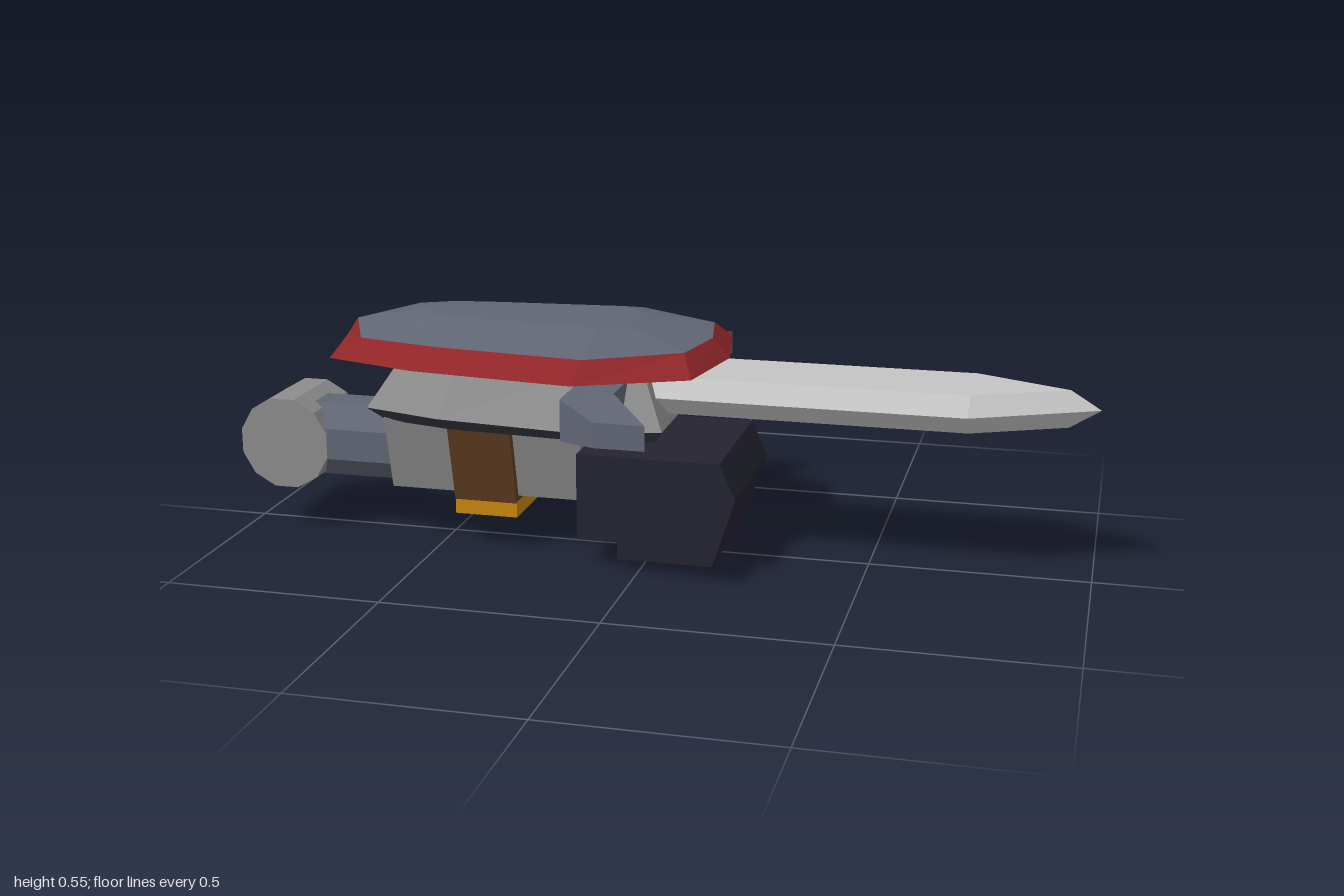
import * as THREE from 'three';

const mat = (name, color) => {
  const m = new THREE.MeshStandardMaterial({ color });
  m.name = name;
  return m;
};

// Flat-faceted skin through rings of [x, y, z] points, with optional end caps.
function loft(rings, capStart = true, capEnd = true) {
  const V = rings.map(r => r.map(p => new THREE.Vector3(...p)));
  const tris = [];
  const add = (a, b, c) => {
    const n = b.clone().sub(a).cross(c.clone().sub(a));
    if (n.length() > 1e-9) tris.push([a, b, c]);
  };
  const N = V[0].length;
  for (let i = 0; i < V.length - 1; i++) {
    for (let j = 0; j < N; j++) {
      const k = (j + 1) % N;
      add(V[i][j], V[i][k], V[i + 1][k]);
      add(V[i][j], V[i + 1][k], V[i + 1][j]);
    }
  }
  const last = V[V.length - 1];
  for (let j = 1; j < N - 1; j++) {
    if (capStart) add(V[0][0], V[0][j + 1], V[0][j]);
    if (capEnd) add(last[0], last[j], last[j + 1]);
  }
  // Turn the whole skin outward if it came out inside-out.
  const c = new THREE.Vector3();
  V.flat().forEach(p => c.add(p));
  c.divideScalar(V.flat().length);
  let vol = 0;
  for (const [a, b, d] of tris) {
    vol += a.clone().sub(c).dot(b.clone().sub(c).cross(d.clone().sub(c)));
  }
  const pts = tris.flatMap(([a, b, d]) => (vol < 0 ? [a, d, b] : [a, b, d]));
  const g = new THREE.BufferGeometry().setFromPoints(pts);
  g.computeVertexNormals();
  return g;
}

// Mirror a half outline of [x, z] points across z = 0 and lift it to height y.
const outline = (half, y) => [
  ...half.map(([x, z]) => [x, y, z]),
  ...half.filter(p => p[1] > 0).reverse().map(([x, z]) => [x, y, -z]),
];

const rect = (x0, x1, y, z) => [[x0, y, z], [x1, y, z], [x1, y, -z], [x0, y, -z]];

// Prism along x or z with flat sides.
function prism(radius, length, sides, turn, axis) {
  let g = new THREE.CylinderGeometry(radius, radius, length, sides, 1);
  g.rotateY(turn);
  if (axis === 'x') g.rotateZ(Math.PI / 2);
  else g.rotateX(Math.PI / 2);
  g = g.toNonIndexed();
  g.computeVertexNormals();
  return g;
}

export function createModel() {
  const root = new THREE.Group();
  root.name = 'armouredForearm';

  const grey = mat('grey', 0x8c8c8c);
  const steel = mat('bladeSteel', 0xc4c4c4);
  const slate = mat('slate', 0x606674);
  const dark = mat('darkSlate', 0x363a42);
  const navy = mat('navy', 0x242330);
  const red = mat('red', 0x902629);
  const brown = mat('brown', 0x603c22);
  const orange = mat('orange', 0xc8860e);

  const part = (name, geometry, material) => {
    const m = new THREE.Mesh(geometry, material);
    m.name = name;
    root.add(m);
    return m;
  };

  // Elbow and upper arm tube
  part('elbowJoint', prism(0.112, 0.2, 12, Math.PI / 12, 'z'), grey).position.set(-0.89, 0.218, 0);
  part('armTube', prism(0.097, 0.27, 8, Math.PI / 8, 'x'), slate).position.set(-0.725, 0.22, 0);

  // Forearm, narrower at the bottom
  part('forearm', loft([rect(-0.62, -0.15, 0.13, 0.092), rect(-0.62, -0.15, 0.31, 0.135)]), grey);

  // Strap around the forearm with a hollow orange end
  part('strap', loft([rect(-0.46, -0.31, 0.115, 0.107), rect(-0.46, -0.31, 0.305, 0.152)]), brown);
  const frame = new THREE.Shape([[-0.075, -0.105], [0.075, -0.105], [0.075, 0.105], [-0.075, 0.105]]
    .map(p => new THREE.Vector2(...p)));
  frame.holes.push(new THREE.Path([[-0.053, -0.08], [-0.053, 0.08], [0.053, 0.08], [0.053, -0.08]]
    .map(p => new THREE.Vector2(...p))));
  const frameGeo = new THREE.ExtrudeGeometry(frame, { depth: 0.038, bevelEnabled: false });
  frameGeo.rotateX(-Math.PI / 2);
  part('strapFrame', frameGeo, orange).position.set(-0.385, 0.08, 0);

  // Hull under the shield
  const hullLow = [[-0.62, 0.12], [-0.45, 0.16], [-0.13, 0.18], [0.03, 0.15]];
  const hullMid = [[-0.65, 0.16], [-0.46, 0.215], [-0.12, 0.25], [0.06, 0.2]];
  const hullTop = [[-0.575, 0.11], [-0.43, 0.15], [-0.13, 0.172], [0, 0.13]];
  part('hullBase', loft([outline(hullLow, 0.3), outline(hullMid, 0.338)], true, false), dark);
  part('hull', loft([outline(hullMid, 0.338), outline(hullTop, 0.458)], false, true), grey);

  // Shield: underside, red rim and slate crown
  const rim = [[-0.76, 0], [-0.71, 0.22], [-0.49, 0.29], [-0.11, 0.333], [0.13, 0.22], [0.17, 0]];
  const brow = [[-0.73, 0], [-0.645, 0.19], [-0.45, 0.235], [-0.1, 0.272], [0.1, 0.155], [0.13, 0]];
  const crown = [[-0.55, 0], [-0.51, 0.075], [-0.4, 0.09], [-0.11, 0.116], [-0.055, 0.07], [-0.045, 0]];
  const under = rim.map(([x, z]) => [-0.3 + (x + 0.3) * 0.75, z * 0.75]);
  part('shieldUnderside', loft([outline(under, 0.455), outline(rim, 0.467)], true, false), dark);
  part('shieldRim', loft([outline(rim, 0.467), outline(brow, 0.511)], false, false), red);
  part('shieldCrown', loft([outline(brow, 0.511), outline(crown, 0.547)], false, true), slate);

  // Swept side fins
  for (const s of [1, -1]) {
    const section = (x0, z0, x1, z1, y0, y1) =>
      [[x0, y0, s * z0], [x1, y0, s * z1], [x1, y1, s * z1], [x0, y1, s * z0]];
    part(s > 0 ? 'frontFin' : 'backFin', loft([
      section(-0.13, 0.13, -0.03, 0.13, 0.347, 0.44),
      section(-0.13, 0.345, -0.03, 0.27, 0.347, 0.44),
      section(-0.03, 0.442, 0.083, 0.442, 0.367, 0.422),
    ]), slate);
  }

  // Blade with bevelled edges and a pointed tip
  const bladeRing = x => [[x, 0.44, 0.1], [x, 0.398, 0.135], [x, 0.355, 0.1],
    [x, 0.355, -0.1], [x, 0.398, -0.135], [x, 0.44, -0.1]];
  const tip = [[0.93, 0.44, 0], [0.998, 0.398, 0], [0.93, 0.355, 0]];
  part('blade', loft([bladeRing(-0.04), bladeRing(0.72), [...tip, ...tip.slice().reverse()]]), steel);

  // Fist with a notch at the heel, and thumb
  const fist = new THREE.Shape([[-0.145, 0.065], [-0.05, 0.065], [-0.05, 0.025], [0.17, 0.025],
    [0.222, 0.185], [0.185, 0.267], [-0.145, 0.267]].map(p => new THREE.Vector2(...p)));
  part('fist', new THREE.ExtrudeGeometry(fist, { depth: 0.37, bevelEnabled: false }), navy).position.z = -0.195;
  const thumbRing = (y, z) => [[-0.147, y, -0.07], [0.02, y, -0.07], [0.02, y, z], [-0.147, y, z]];
  part('thumb', loft([thumbRing(0, -0.245), thumbRing(0.185, -0.196)]), navy);

  return root;
}
